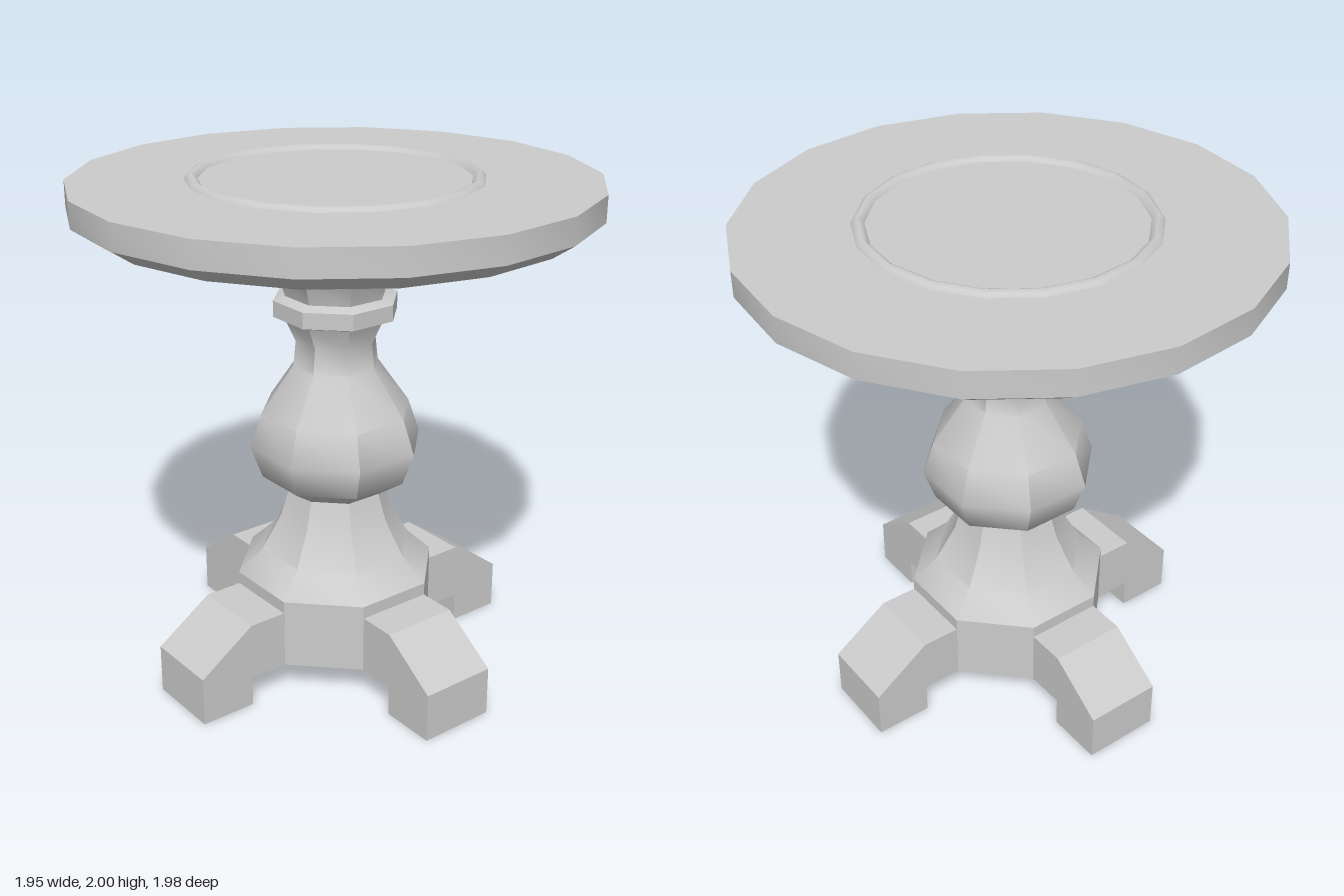
import * as THREE from 'three';
import { toCreasedNormals } from 'three/addons/utils/BufferGeometryUtils.js';

const CREASE = THREE.MathUtils.degToRad(38);
const material = new THREE.MeshStandardMaterial({ color: 0xcccccc });

function addMesh(parent, name, geometry) {
  const mesh = new THREE.Mesh(geometry, material);
  mesh.name = name;
  parent.add(mesh);
  return mesh;
}

// Faceted turned part; points are [radius, height] from bottom to top
function turned(points, sides, crease = CREASE) {
  const profile = points.map(([r, y]) => new THREE.Vector2(r, y));
  return toCreasedNormals(new THREE.LatheGeometry(profile, sides), crease);
}

// Eight-sided part with flat faces towards the axes; radii measured to the flats
function octagonal(points) {
  const k = 1 / Math.cos(Math.PI / 8);
  return turned(points.map(([r, y]) => [r * k, y]), 8).rotateY(Math.PI / 8);
}

export function createModel() {
  const table = new THREE.Group();
  table.name = 'pedestalTable';

  // Round top with a chamfered underside
  addMesh(table, 'tableTop', turned([
    [0, 1.823], [0.906, 1.823], [0.989, 1.88], [0.989, 1.98], [0, 1.98],
  ], 18, 0.5));

  // Raised bead set into the top
  addMesh(table, 'topRing', turned([
    [0.556, 1.978], [0.546, 1.993], [0.53, 2], [0.515, 1.993], [0.504, 1.978],
  ], 18, 1));

  // Hub that carries the feet
  addMesh(table, 'baseHub', octagonal([
    [0, 0.12], [0.373, 0.12], [0.373, 0.4], [0, 0.4],
  ]));

  // Column: flared skirt, bulb and neck
  addMesh(table, 'columnSkirt', octagonal([
    [0.373, 0.4], [0.28, 0.495], [0.208, 0.636], [0.178, 0.742],
  ]));
  addMesh(table, 'columnBulb', octagonal([
    [0.178, 0.742], [0.275, 0.81], [0.318, 0.94], [0.275, 1.075],
    [0.156, 1.26], [0.146, 1.36], [0.183, 1.447],
  ]));
  addMesh(table, 'collar', octagonal([
    [0.183, 1.447], [0.226, 1.463], [0.226, 1.526], [0.183, 1.541],
  ]));
  addMesh(table, 'capital', octagonal([
    [0.183, 1.541], [0.207, 1.63], [0.26, 1.705], [0.335, 1.765], [0.335, 1.823],
  ]));

  // Four diagonal feet
  const width = 0.306;
  const side = new THREE.Shape([
    [0.34, 0.12], [0.528, 0.12], [0.528, 0], [0.752, 0],
    [0.752, 0.196], [0.526, 0.35], [0.34, 0.35],
  ].map(([x, y]) => new THREE.Vector2(x, y)));
  const footGeometry = new THREE.ExtrudeGeometry(side, { depth: width, bevelEnabled: false });
  footGeometry.translate(0, 0, -width / 2);
  const names = ['backLeftFoot', 'backRightFoot', 'frontRightFoot', 'frontLeftFoot'];
  names.forEach((name, i) => {
    addMesh(table, name, footGeometry).rotation.y = Math.PI / 4 + i * Math.PI / 2;
  });

  return table;
}
